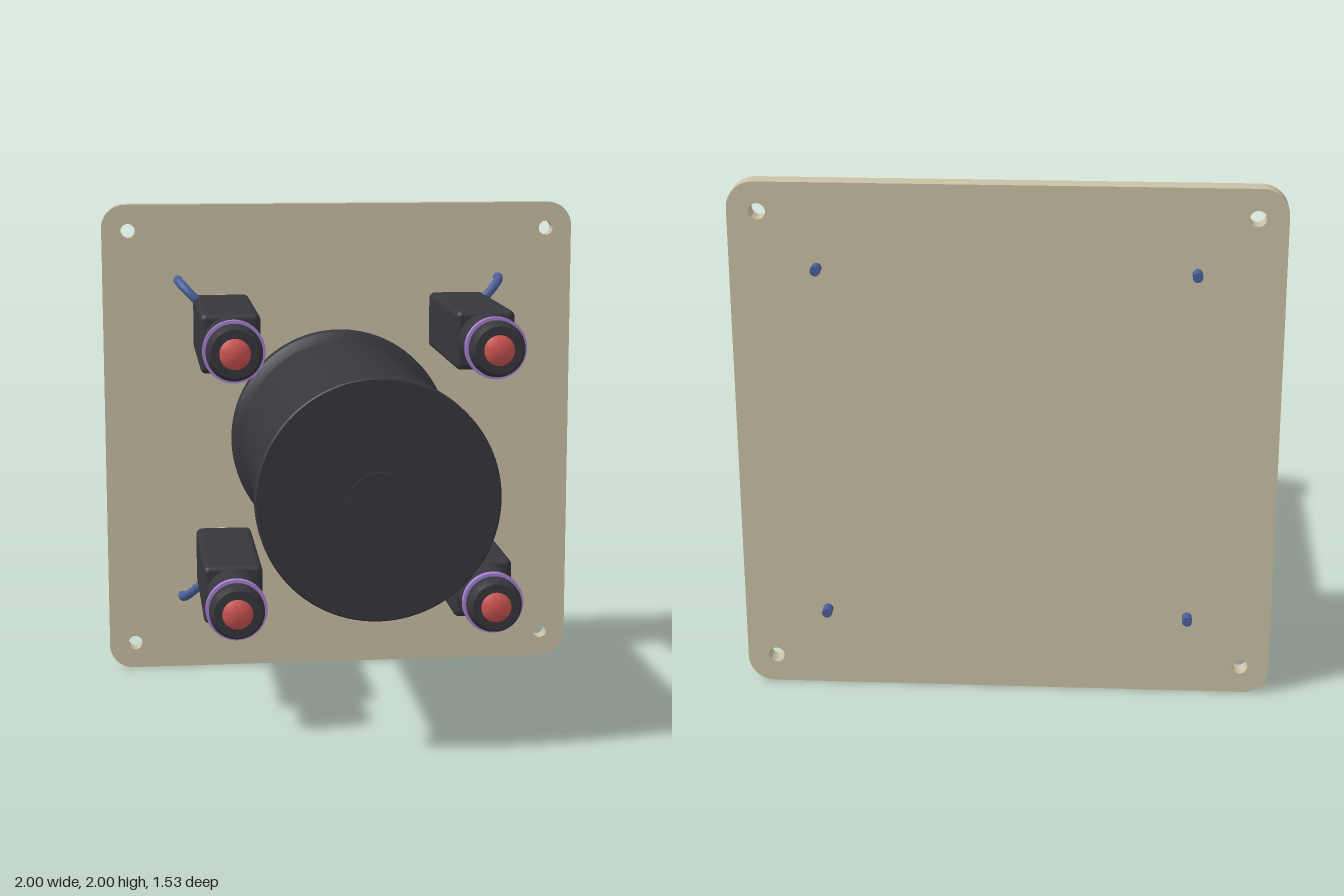
import * as THREE from 'three';
import { toCreasedNormals } from 'three/addons/utils/BufferGeometryUtils.js';
import { RoundedBoxGeometry } from 'three/addons/geometries/RoundedBoxGeometry.js';

const material = (name, color) => {
  const m = new THREE.MeshStandardMaterial({ color });
  m.name = name;
  return m;
};

// Solid of revolution along z from [radius, z] points, listed back to front
function turned(points, segments = 64) {
  const g = new THREE.LatheGeometry(points.map(([r, z]) => new THREE.Vector2(r, z)), segments);
  g.rotateX(Math.PI / 2);
  return toCreasedNormals(g, 0.5);
}

// Square plate with rounded corners and four mounting holes
function plateGeometry() {
  const r = 0.1, c = 1 - r;
  const shape = new THREE.Shape();
  shape.absarc(c, c, r, 0, Math.PI / 2);
  shape.absarc(-c, c, r, Math.PI / 2, Math.PI);
  shape.absarc(-c, -c, r, Math.PI, Math.PI * 1.5);
  shape.absarc(c, -c, r, Math.PI * 1.5, Math.PI * 2);
  shape.closePath();
  for (const x of [-0.89, 0.89]) for (const y of [-0.89, 0.89]) {
    const hole = new THREE.Path();
    hole.absarc(x, y, 0.03, 0, Math.PI * 2, true);
    shape.holes.push(hole);
  }
  const g = new THREE.ExtrudeGeometry(shape, { depth: 0.07, bevelEnabled: false, curveSegments: 16 });
  g.translate(0, 0, -0.72);
  return toCreasedNormals(g, 0.5);
}

export function createModel() {
  const tan = material('tan plate', 0xcac2a6);
  const black = material('black housing', 0x37363d);
  const violet = material('violet ring', 0xa880d2);
  const red = material('red lens', 0xd25755);
  const blue = material('blue wire', 0x4a5f9c);

  const model = new THREE.Group();
  const add = (parent, name, geometry, mat) => {
    const mesh = new THREE.Mesh(geometry, mat);
    mesh.name = name;
    parent.add(mesh);
    return mesh;
  };
  const assembly = new THREE.Group();
  assembly.name = 'assembly';
  assembly.position.y = 1;
  model.add(assembly);

  add(assembly, 'mountingPlate', plateGeometry(), tan);

  // Central barrel with a base flange, front rim and a small raised cap
  add(assembly, 'mainBarrel', turned([
    [0, -0.65], [0.465, -0.65], [0.465, -0.585], [0.455, -0.575], [0.425, -0.56],
    [0.425, 0.665], [0.43, 0.668], [0.455, 0.69], [0.455, 0.75], [0.45, 0.755], [0, 0.755],
  ], 96), black);
  add(assembly, 'frontCap', turned([[0.11, 0.75], [0.11, 0.766], [0, 0.766]], 48), black);

  // Shared geometry of the four small lamps
  const box = new RoundedBoxGeometry(0.236, 0.236, 0.75, 4, 0.025);
  box.translate(0, 0, -0.275);
  const barrel = turned([
    [0.108, 0.08], [0.108, 0.37], [0.104, 0.385], [0.092, 0.41], [0.062, 0.41], [0, 0.41],
  ], 48);
  const ring = turned([
    [0.105, 0.31], [0.12, 0.31], [0.12, 0.341], [0.105, 0.341],
  ], 48);
  const lens = turned([[0.062, 0.408], [0.05, 0.417], [0.03, 0.425], [0, 0.43]], 32);
  const seat = turned([[0.117, -0.651], [0.117, -0.645], [0.1, -0.63], [0, -0.63]], 48);

  for (const sx of [-1, 1]) for (const sy of [-1, 1]) {
    const lamp = new THREE.Group();
    lamp.name = (sy > 0 ? 'upper' : 'lower') + (sx > 0 ? 'Left' : 'Right') + 'Lamp';
    lamp.position.set(sx * 0.503, sy * 0.503, 0);
    assembly.add(lamp);
    add(lamp, 'lampBox', box, black);
    add(lamp, 'lampBarrel', barrel, black);
    add(lamp, 'lampRing', ring, violet);
    add(lamp, 'lampLens', lens, red);
    add(lamp, 'plateSeat', seat, tan);

    // Wire leaves the outer corner of the box, bends and passes through the plate
    const at = (d, z) => new THREE.Vector3(sx * d, sy * d, z);
    const path = new THREE.CurvePath();
    path.add(new THREE.LineCurve3(at(0.08, -0.53), at(0.112, -0.535)));
    path.add(new THREE.CubicBezierCurve3(at(0.112, -0.535), at(0.15, -0.545), at(0.18, -0.58), at(0.18, -0.64)));
    path.add(new THREE.LineCurve3(at(0.18, -0.64), at(0.18, -0.765)));
    add(lamp, 'wire', new THREE.TubeGeometry(path, 32, 0.019, 12), blue);
    const end = add(lamp, 'wireEnd', new THREE.CircleGeometry(0.019, 12), blue);
    end.rotation.y = Math.PI;
    end.position.copy(at(0.18, -0.765));
  }
  return model;
}
